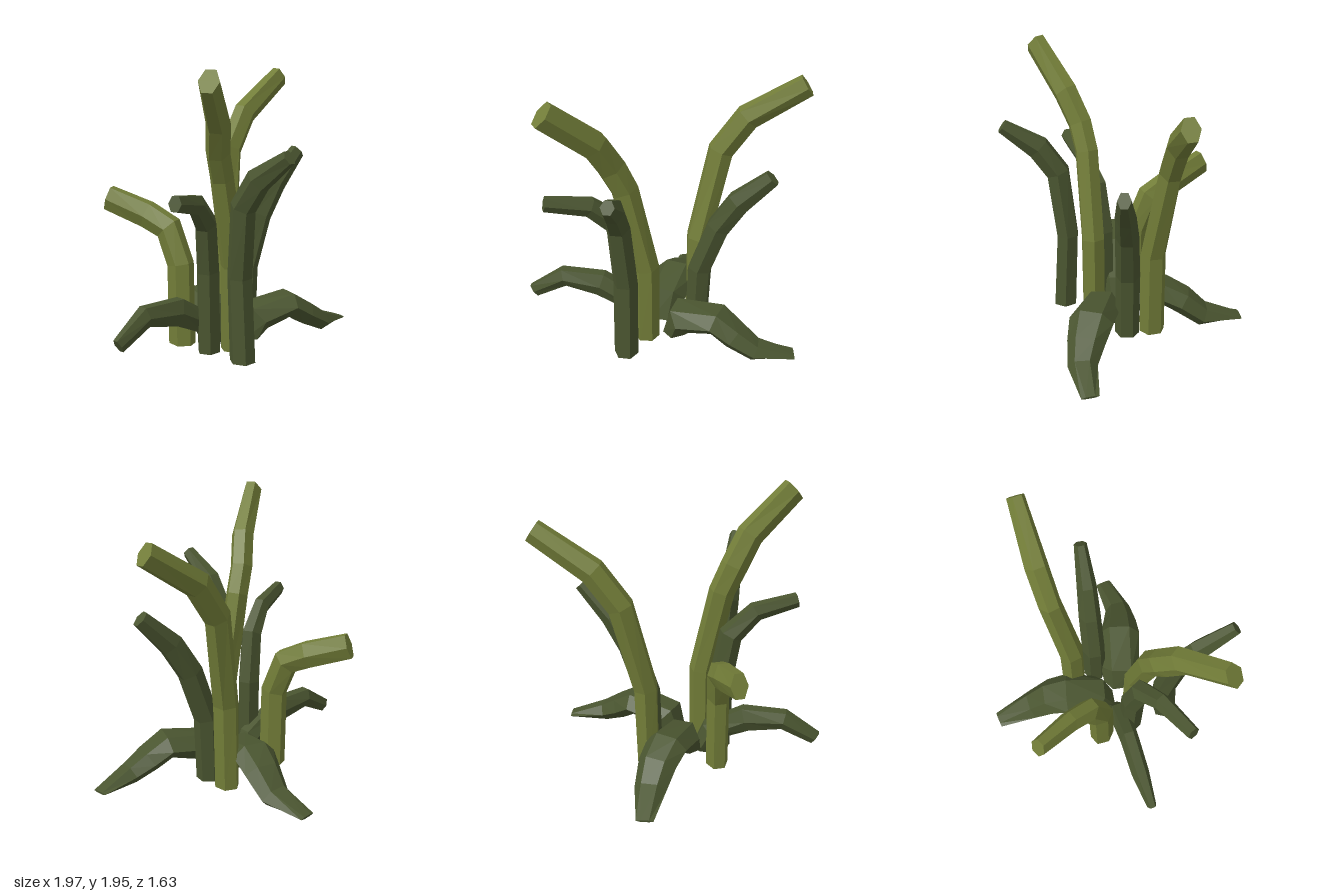
import * as THREE from 'three';

const SIDES = 6;

// Hexagonal stem swept along rings of [x, y, z, halfWidth, halfThickness]
function stemGeometry(rings) {
  const centres = rings.map(r => new THREE.Vector3(r[0], r[1], r[2]));
  const last = centres.length - 1;
  const lean = centres[last].clone().sub(centres[0]).setY(0);
  const across = new THREE.Vector3(0, 1, 0).cross(lean).normalize();
  const pos = [], index = [];

  rings.forEach(([, , , w, h], i) => {
    const back = centres[i].clone().sub(centres[Math.max(i - 1, 0)]).normalize();
    const ahead = centres[Math.min(i + 1, last)].clone().sub(centres[i]).normalize();
    const t = back.add(ahead).normalize();
    if (i === 0 && t.y > 0.9) t.set(0, 1, 0); // stems stand flat on the ground
    const s = across.clone().addScaledVector(t, -across.dot(t)).normalize();
    const n = t.clone().cross(s);
    for (let j = 0; j < SIDES; j++) {
      const a = (j / SIDES) * Math.PI * 2;
      const p = centres[i].clone()
        .addScaledVector(s, Math.cos(a) * w)
        .addScaledVector(n, Math.sin(a) * h * 1.12);
      pos.push(p.x, Math.max(p.y, 0.005), p.z);
    }
  });

  for (let i = 0; i < last; i++) {
    for (let j = 0; j < SIDES; j++) {
      const k = (j + 1) % SIDES;
      const a = i * SIDES + j, b = i * SIDES + k;
      index.push(a, b, b + SIDES, a, b + SIDES, a + SIDES);
    }
  }
  // End caps
  for (let j = 1; j < SIDES - 1; j++) {
    const e = last * SIDES;
    index.push(0, j + 1, j, e, e + j, e + j + 1);
  }

  const indexed = new THREE.BufferGeometry();
  indexed.setAttribute('position', new THREE.Float32BufferAttribute(pos, 3));
  indexed.setIndex(index);
  const geo = indexed.toNonIndexed();
  geo.computeVertexNormals();
  return geo;
}

export function createModel() {
  const olive = new THREE.MeshStandardMaterial({ color: 0x727d38, flatShading: true });
  olive.name = 'light olive';
  const green = new THREE.MeshStandardMaterial({ color: 0x4a5530, flatShading: true });
  green.name = 'dark green';

  const group = new THREE.Group();
  group.name = 'plant';
  const add = (name, material, rings) => {
    const mesh = new THREE.Mesh(stemGeometry(rings), material);
    mesh.name = name;
    group.add(mesh);
  };

  // Tall light stems
  add('tallRightStem', olive, [
    [-0.115, 0.03, 0.21, 0.085, 0.08], [-0.115, 0.62, 0.21, 0.085, 0.08],
    [-0.25, 1.24, 0.22, 0.08, 0.085], [-0.33, 1.42, 0.25, 0.08, 0.09],
    [-0.43, 1.62, 0.33, 0.08, 0.09], [-0.72, 1.9, 0.49, 0.065, 0.085]]);
  add('tallLeftStem', olive, [
    [0.245, 0.03, -0.14, 0.09, 0.075], [0.255, 0.65, -0.14, 0.09, 0.08],
    [0.4, 1.31, -0.21, 0.08, 0.085], [0.575, 1.56, -0.21, 0.08, 0.085],
    [0.955, 1.81, -0.165, 0.06, 0.075]]);
  add('backStem', olive, [
    [-0.25, 0.03, -0.13, 0.08, 0.085], [-0.25, 0.6, -0.14, 0.08, 0.085],
    [-0.255, 0.84, -0.24, 0.08, 0.09], [-0.295, 0.92, -0.4, 0.075, 0.09],
    [-0.395, 1.02, -0.67, 0.06, 0.085]]);

  // Upright dark stems
  add('leftStem', green, [
    [0.245, 0.03, 0.04, 0.085, 0.075], [0.26, 0.5, 0.04, 0.085, 0.08],
    [0.38, 0.86, 0.07, 0.08, 0.08], [0.51, 1.08, 0.11, 0.07, 0.08],
    [0.72, 1.295, 0.165, 0.045, 0.055]]);
  add('frontStem', green, [
    [-0.26, 0.03, 0.4, 0.085, 0.08], [-0.255, 0.6, 0.37, 0.085, 0.075],
    [-0.29, 1.08, 0.42, 0.08, 0.08], [-0.31, 1.27, 0.55, 0.07, 0.08],
    [-0.33, 1.44, 0.79, 0.045, 0.045]]);
  add('rightStem', green, [
    [-0.25, 0.03, 0.11, 0.08, 0.08], [-0.26, 0.6, 0.11, 0.08, 0.08],
    [-0.32, 0.94, 0.14, 0.075, 0.08], [-0.49, 1.1, 0.2, 0.06, 0.065],
    [-0.78, 1.165, 0.275, 0.045, 0.05]]);

  // Low drooping leaves
  add('lowRightLeaf', green, [
    [-0.12, 0.04, 0.04, 0.07, 0.06], [-0.2, 0.2, 0.04, 0.08, 0.08],
    [-0.45, 0.34, 0.0, 0.07, 0.095], [-0.72, 0.37, -0.045, 0.065, 0.07],
    [-0.95, 0.235, -0.06, 0.035, 0.05]]);
  add('lowBackLeaf', green, [
    [-0.01, 0.06, 0.0, 0.12, 0.08], [0.02, 0.2, -0.06, 0.15, 0.11],
    [0.1, 0.26, -0.26, 0.155, 0.08], [0.155, 0.19, -0.39, 0.14, 0.08],
    [0.19, 0.075, -0.53, 0.115, 0.07], [0.2, 0.03, -0.815, 0.06, 0.008]]);
  add('lowFrontLeaf', green, [
    [0.09, 0.06, 0.18, 0.12, 0.08], [0.14, 0.2, 0.21, 0.15, 0.11],
    [0.38, 0.25, 0.32, 0.155, 0.085], [0.5, 0.16, 0.38, 0.13, 0.08],
    [0.64, 0.075, 0.43, 0.1, 0.065], [0.915, 0.03, 0.43, 0.06, 0.008]]);

  return group;
}
